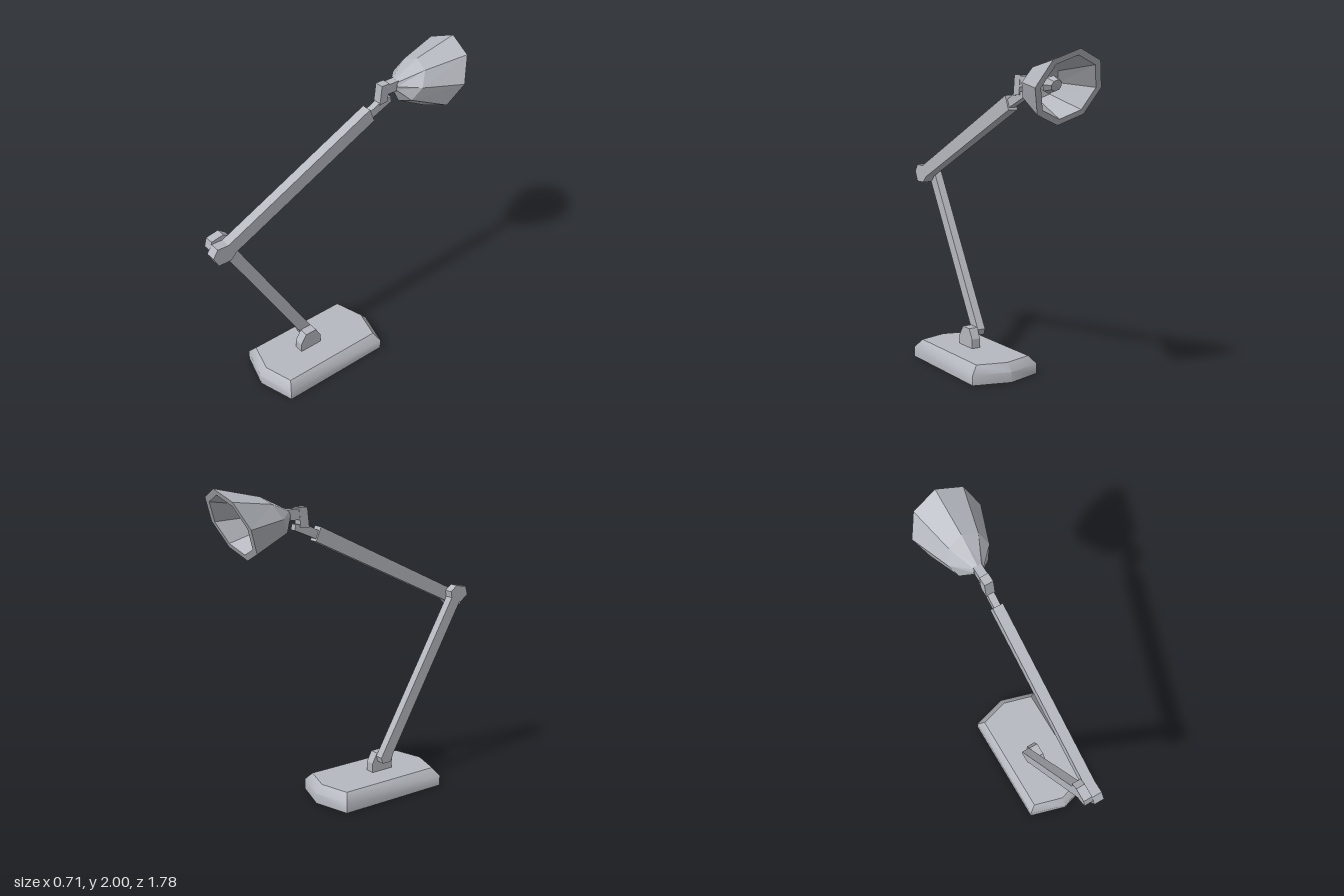
import * as THREE from 'three';
import { toCreasedNormals } from 'three/addons/utils/BufferGeometryUtils.js';

const grey = new THREE.MeshStandardMaterial({ color: 0xb5b8bf });
grey.name = 'warm grey';
const MID = -0.016; // symmetry plane of the lamp

// Skin over a list of rings with equal point counts
function loft(rings, crease) {
  const pos = [];
  const tri = (a, b, c) => {
    const n = b.clone().sub(a).cross(c.clone().sub(a));
    if (n.lengthSq() > 1e-14) for (const p of [a, b, c]) pos.push(p.x, p.y, p.z);
  };
  for (let i = 0; i + 1 < rings.length; i++) {
    const r = rings[i], s = rings[i + 1], n = r.length;
    for (let k = 0; k < n; k++) {
      const j = (k + 1) % n;
      tri(r[k], r[j], s[k]);
      tri(r[j], s[j], s[k]);
    }
  }
  const g = new THREE.BufferGeometry();
  g.setAttribute('position', new THREE.Float32BufferAttribute(pos, 3));
  g.computeVertexNormals();
  return crease ? toCreasedNormals(g, crease) : g;
}

// Side profile in (z, y), given thickness across x
function plate(points, x0, x1) {
  const shape = new THREE.Shape(points.map(([z, y]) => new THREE.Vector2(z, y)));
  const g = new THREE.ExtrudeGeometry(shape, { depth: x1 - x0, bevelEnabled: false });
  return g.rotateY(-Math.PI / 2).translate(x1, 0, 0);
}

// Tilted octagon: centre (z, y), half height vector (dz, dy), half width
function octagon([z, y, dz, dy, w]) {
  return Array.from({ length: 8 }, (_, k) => {
    const a = (k * Math.PI) / 4, c = Math.cos(a);
    return new THREE.Vector3(MID + w * Math.sin(a), y + dy * c, z + dz * c);
  });
}

// Six-sided base outline at height y
function baseRing(y, w, side, tip) {
  const cz = 0.185;
  return [[-w, side], [0, tip], [w, side], [w, -side], [0, -tip], [-w, -side]]
    .map(([x, z]) => new THREE.Vector3(MID + x, y, cz + z));
}

export function createModel() {
  const model = new THREE.Group();
  model.name = 'deskLamp';
  const lamp = new THREE.Group();
  lamp.name = 'turnedLamp';
  lamp.rotation.y = -0.196;
  model.add(lamp);
  const add = (name, geometry) => {
    const mesh = new THREE.Mesh(geometry, grey);
    mesh.name = name;
    lamp.add(mesh);
  };

  // Bevelled base
  add('base', loft([
    baseRing(0, 0, 0, 0),
    baseRing(0, 0.235, 0.373, 0.442),
    baseRing(0.065, 0.235, 0.373, 0.442),
    baseRing(0.115, 0.19, 0.343, 0.397),
    baseRing(0.115, 0, 0, 0),
  ], 0.79));

  // Bracket on the base
  add('baseBracket', plate([
    [0.16, 0.11], [0.317, 0.11], [0.317, 0.175], [0.275, 0.24], [0.195, 0.24], [0.16, 0.175],
  ], -0.048, 0.012));

  // Lower arm and its rounded elbow end
  add('lowerArm', plate([
    [0.2, 0.185], [0.262, 0.185], [0.285, 0.24], [0.825, 1.18], [0.755, 1.21], [0.188, 0.225],
  ], -0.104, -0.05));
  add('lowerElbow', plate([
    [0.825, 1.165], [0.885, 1.21], [0.87, 1.265], [0.79, 1.28], [0.745, 1.245], [0.755, 1.185],
  ], -0.104, -0.048));

  // Upper arm with faceted elbow end
  add('upperArm', plate([
    [-0.262, 1.655], [0.752, 1.175], [0.79, 1.135], [0.874, 1.135],
    [0.905, 1.2], [0.872, 1.25], [0.8, 1.247], [-0.227, 1.74],
  ], -0.048, 0.016));

  // Stem, hinge and neck carrying the shade
  add('stem', plate([
    [-0.22, 1.655], [-0.21, 1.705], [-0.315, 1.755], [-0.395, 1.765], [-0.4, 1.73],
  ].reverse(), -0.036, 0.006));
  add('hinge', plate([
    [-0.365, 1.745], [-0.305, 1.74], [-0.318, 1.86], [-0.375, 1.86],
  ], -0.044, 0.012));
  add('neck', plate([
    [-0.45, 1.79], [-0.355, 1.79], [-0.365, 1.852], [-0.45, 1.852],
  ], -0.042, 0.01));

  // Octagonal shade, outside then inside
  add('shade', loft([
    [-0.435, 1.82, 0, 0, 0],
    [-0.435, 1.82, -0.005, 0.032, 0.032],
    [-0.545, 1.817, -0.068, 0.118, 0.132],
    [-0.803, 1.79, -0.1, 0.207, 0.222],
    [-0.803, 1.79, -0.083, 0.172, 0.184],
    [-0.565, 1.815, -0.052, 0.092, 0.102],
    [-0.52, 1.817, 0, 0, 0],
  ].map(octagon)));

  // Bulb
  add('bulb', loft([
    [-0.53, 1.817, -0.015, 0.03, 0.033],
    [-0.58, 1.813, -0.017, 0.035, 0.038],
    [-0.64, 1.805, -0.024, 0.05, 0.055],
    [-0.69, 1.8, -0.015, 0.032, 0.035],
    [-0.695, 1.8, 0, 0, 0],
  ].map(octagon)));

  return model;
}
